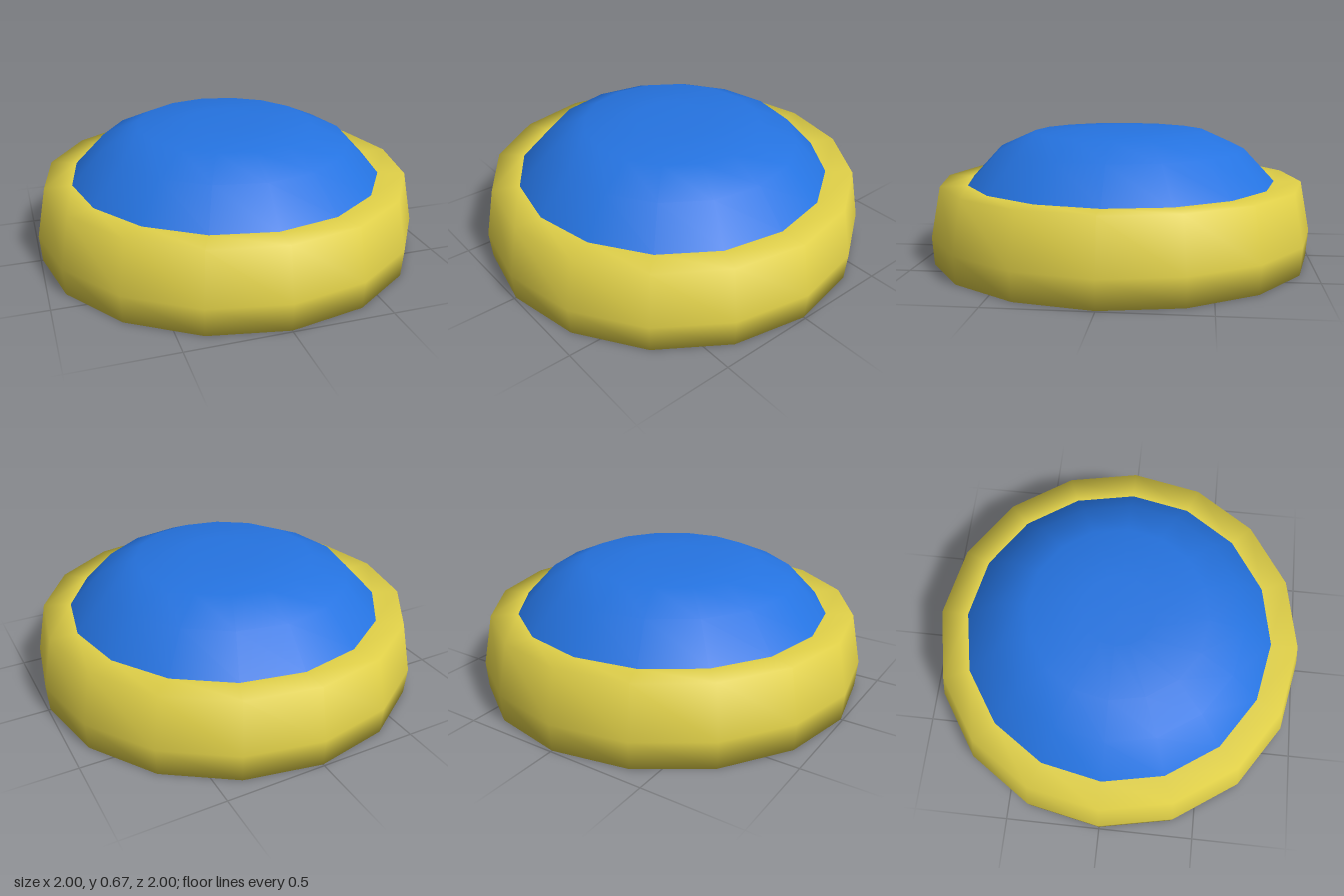
import * as THREE from 'three';

const SIDES = 16;

// Smooth turned part; the profile runs from bottom to top as [radius, height]
function turned(name, profile, material) {
  const points = profile.map(([r, y]) => new THREE.Vector2(r, y));
  const mesh = new THREE.Mesh(new THREE.LatheGeometry(points, SIDES), material);
  mesh.name = name;
  return mesh;
}

export function createModel() {
  const yellow = new THREE.MeshStandardMaterial({ color: 0xe0d048 });
  yellow.name = 'yellow';
  const blue = new THREE.MeshStandardMaterial({ color: 0x2573e0 });
  blue.name = 'blue';

  const model = new THREE.Group();
  model.name = 'domedButton';

  // Base: flat underside, slightly bulging wall, flat rim around the dome
  model.add(turned('base', [
    [0, 0], [0.48, 0], [0.99, 0], [1, 0.14], [0.95, 0.4], [0.81, 0.4],
  ], yellow));

  // Dome: steep shoulder flattening to the crown
  model.add(turned('dome', [
    [0.81, 0.4], [0.65, 0.57], [0.46, 0.655], [0.19, 0.67], [0, 0.67],
  ], blue));

  return model;
}
